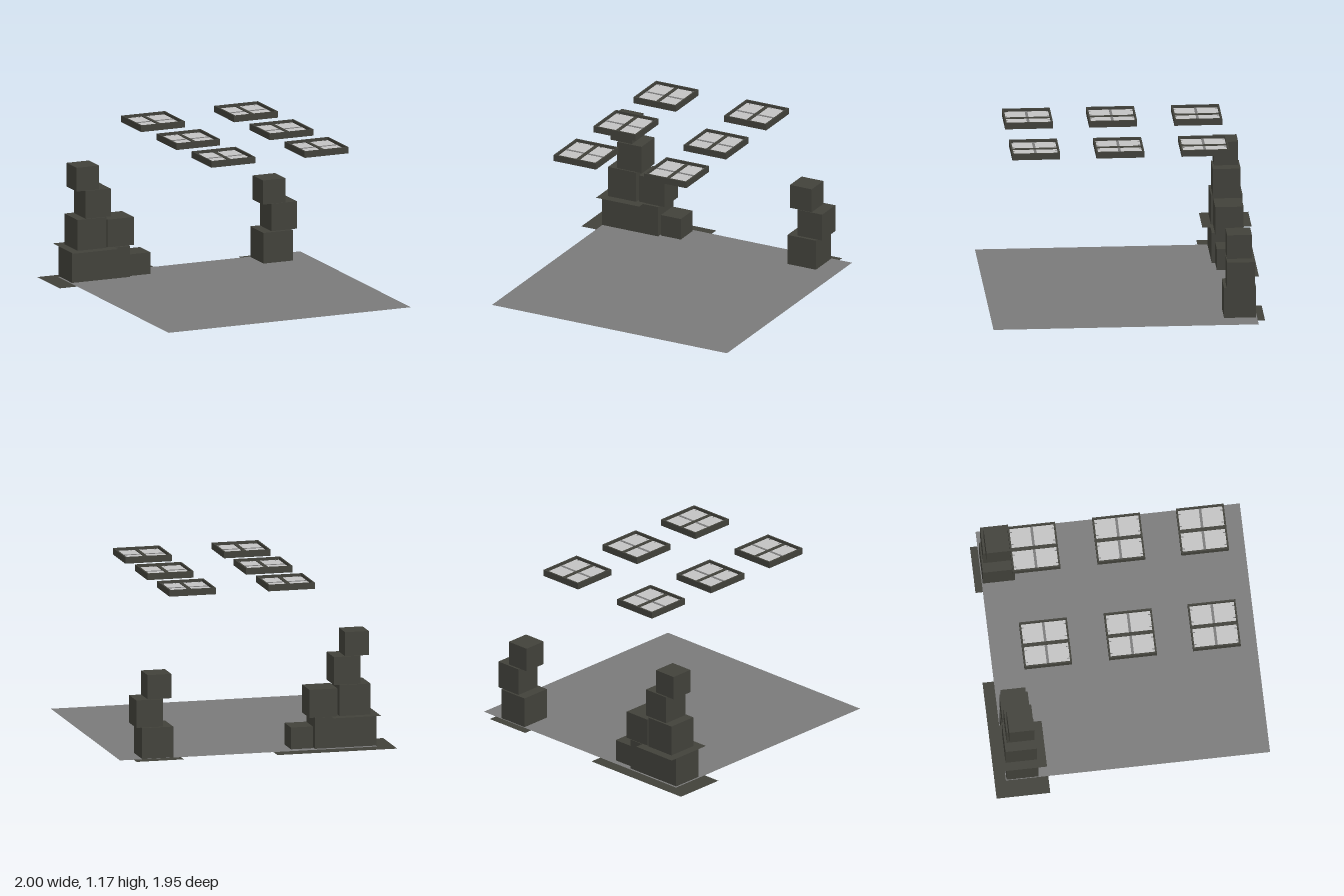
import * as THREE from 'three';

export function createModel() {
  const root = new THREE.Group();
  const mat = (name, color, side = THREE.FrontSide) => {
    const m = new THREE.MeshStandardMaterial({ color, side });
    m.name = name;
    return m;
  };
  const dark = mat('dark olive', 0x41413a);
  const darkSheet = mat('dark olive sheet', 0x41413a, THREE.DoubleSide);
  const grey = mat('floor grey', 0x7a7a7a, THREE.DoubleSide);
  const pane = mat('pale pane', 0xc2c2c2, THREE.DoubleSide);

  // box given by its limits on each axis
  const box = (parent, name, material, x0, x1, y0, y1, z0, z1) => {
    const m = new THREE.Mesh(new THREE.BoxGeometry(x1 - x0, y1 - y0, z1 - z0), material);
    m.position.set((x0 + x1) / 2, (y0 + y1) / 2, (z0 + z1) / 2);
    m.name = name;
    parent.add(m);
  };
  // flat horizontal sheet
  const sheet = (parent, name, material, x0, x1, y, z0, z1) => {
    const g = new THREE.PlaneGeometry(x1 - x0, z1 - z0).rotateX(-Math.PI / 2);
    const m = new THREE.Mesh(g, material);
    m.position.set((x0 + x1) / 2, y, (z0 + z1) / 2);
    m.name = name;
    parent.add(m);
  };

  // floor and the sheets around the crates
  sheet(root, 'floor', grey, -0.875, 0.998, 0.006, -0.9, 0.97);
  sheet(root, 'leftPallet', darkSheet, -1, -0.127, 0, -0.98, -0.6);
  sheet(root, 'rightPallet', darkSheet, 0.546, 0.891, 0, -0.952, -0.607);
  sheet(root, 'upperPallet', darkSheet, -0.888, -0.543, 0.237, -0.958, -0.61);

  // crate stacks
  const left = new THREE.Group();
  left.name = 'leftCrateStack';
  [
    [-0.872, -0.424, 0.012, 0.235, -0.895, -0.668],
    [-0.415, -0.256, 0.012, 0.168, -0.867, -0.692],
    [-0.827, -0.603, 0.238, 0.46, -0.897, -0.675],
    [-0.588, -0.385, 0.235, 0.436, -0.89, -0.69],
    [-0.76, -0.565, 0.46, 0.66, -0.882, -0.686],
    [-0.822, -0.65, 0.66, 0.832, -0.87, -0.7],
  ].forEach((b) => box(left, 'crate', dark, ...b));
  const right = new THREE.Group();
  right.name = 'rightCrateStack';
  [
    [0.608, 0.834, 0.006, 0.227, -0.893, -0.667],
    [0.678, 0.874, 0.229, 0.426, -0.882, -0.686],
    [0.614, 0.787, 0.426, 0.6, -0.866, -0.692],
  ].forEach((b) => box(right, 'crate', dark, ...b));
  root.add(left, right);

  // ceiling lamps: rim, centre bar, recessed panes and cross strip
  const h = 0.169, rim = 0.012, y0 = 1.124, y1 = 1.17;
  for (const x of [-0.3, 0.42]) {
    for (const z of [-0.553, 0.047, 0.64]) {
      const lamp = new THREE.Group();
      lamp.name = 'ceilingLamp';
      lamp.position.set(x, 0, z);
      for (const s of [-1, 1]) {
        const a = s < 0 ? -h : h - rim;
        box(lamp, 'sideRim', dark, a, a + rim, y0, y1, -h, h);
        box(lamp, 'endRim', dark, -h + rim, h - rim, y0, y1, a, a + rim);
        const c = s * 0.085;
        box(lamp, 'pane', pane, c - 0.072, c + 0.072, 1.143, 1.15, -h + rim, h - rim);
        box(lamp, 'crossStrip', grey, c - 0.072, c + 0.072, 1.142, 1.152, -0.009, 0.009);
        // small clips on the panes
        for (const cz of [-0.15, 0.15]) {
          for (const cx of [-0.045, 0.045]) {
            box(lamp, 'clip', grey, c + cx - 0.003, c + cx + 0.003, 1.142, 1.152, cz - 0.01, cz + 0.01);
          }
        }
      }
      box(lamp, 'centreBar', dark, -0.013, 0.013, 1.138, 1.155, -h + rim, h - rim);
      root.add(lamp);
    }
  }
  return root;
}
